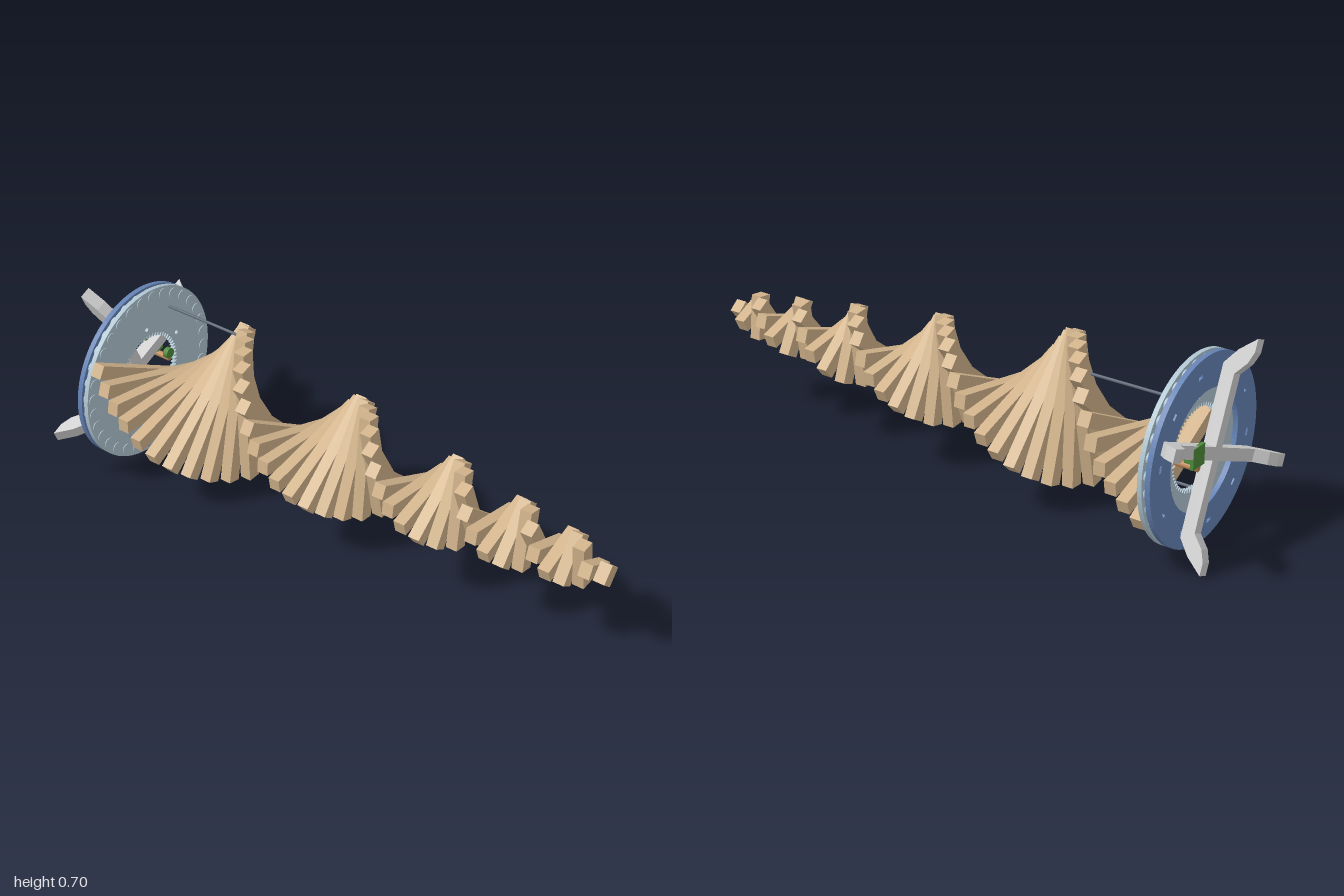
import * as THREE from 'three';

const material = (name, color, flatShading = false) => {
  const m = new THREE.MeshStandardMaterial({ color, flatShading });
  m.name = name;
  return m;
};

const DEG = Math.PI / 180;
const CENTRE_Y = 0.352;

export function createModel() {
  const wood = material('tan wood', 0xd2b48c);
  const paleBlue = material('pale blue', 0xb0c6d2);
  const blue = material('blue', 0x6482b4);
  const grey = material('light grey', 0xd0d0d0);
  const steel = material('dark steel', 0x5f6878);
  const green = material('green', 0x4e8a3a);
  const copper = material('copper', 0xc08a58);

  const model = new THREE.Group();
  model.name = 'twistedSculpture';
  const body = new THREE.Group();
  body.name = 'body';
  body.position.y = CENTRE_Y;
  model.add(body);

  const add = (name, geometry, mat, x = 0, y = 0, z = 0, parent = body) => {
    const mesh = new THREE.Mesh(geometry, mat);
    mesh.name = name;
    mesh.position.set(x, y, z);
    parent.add(mesh);
    return mesh;
  };
  // cylinder lying along z
  const rod = (r, length, sides = 20) =>
    new THREE.CylinderGeometry(r, r, length, sides).rotateX(Math.PI / 2);
  const polar = (r, deg) => [r * Math.cos(deg * DEG), r * Math.sin(deg * DEG)];

  // Stack of slats: shorter and turning faster toward the front
  const COUNT = 45;
  const BACK = -0.862;
  const THICK = (1 - BACK) / COUNT;
  // [slat index, angle in degrees]
  const twist = [[0, -30], [3, 0], [9.9, 90], [16.4, 180], [22.4, 270], [27.4, 360], [31.3, 450],
    [34.4, 540], [37.3, 630], [39.5, 720], [41.9, 810], [43.3, 890], [44, 950]];
  const angleAt = (i) => {
    let k = 1;
    while (k < twist.length - 1 && twist[k][0] < i) k++;
    const [i0, a0] = twist[k - 1], [i1, a1] = twist[k];
    return a0 + (a1 - a0) * (i - i0) / (i1 - i0);
  };
  const slats = new THREE.Group();
  slats.name = 'slats';
  body.add(slats);
  for (let i = 0; i < COUNT; i++) {
    const half = i === COUNT - 1 ? 0.033 : i === COUNT - 2 ? 0.06 : 0.315 - 0.0056 * i;
    const slat = add('slat', new THREE.BoxGeometry(2 * half, 0.048, THICK), wood,
      0, 0, BACK + THICK * (i + 0.5), slats);
    slat.rotation.z = angleAt(i) * DEG;
  }

  // Discs
  const circle = (r) => new THREE.Shape().absarc(0, 0, r, 0, Math.PI * 2, false);
  const holeAt = (x, y, r) => new THREE.Path().absarc(x, y, r, 0, Math.PI * 2, true);
  const plate = (shape, depth) =>
    new THREE.ExtrudeGeometry(shape, { depth, bevelEnabled: false, curveSegments: 48 });

  // Front disc with an internal gear and bolt holes
  const gearDisc = circle(0.315);
  const teeth = [];
  const TEETH = 60;
  for (let i = 0; i < TEETH; i++) {
    [[0, 0.145], [0.35, 0.145], [0.5, 0.133], [0.85, 0.133]].forEach(([t, r]) =>
      teeth.push(new THREE.Vector2(...polar(r, (i + t) * 360 / TEETH))));
  }
  gearDisc.holes.push(new THREE.Path(teeth.reverse()));
  for (let i = 0; i < 6; i++) gearDisc.holes.push(holeAt(...polar(0.172, 30 + i * 60), 0.008));
  add('gearDisc', plate(gearDisc, 0.016), paleBlue, 0, 0, -0.877);

  // Rollers held in the front disc
  for (let i = 0; i < 32; i++) {
    const [x, y] = polar(0.287, 3.9 + i * 11.25);
    add('roller', rod(0.0205, 0.032), paleBlue, x, y, -0.8745);
  }

  // Back ring with short slots
  const ring = circle(0.315);
  ring.holes.push(holeAt(0, 0, 0.2));
  for (let i = 0; i < 10; i++) {
    const a = i * 36 + 8;
    ring.holes.push(new THREE.Path([
      [0.255, -2.6], [0.255, 2.6], [0.267, 2.6], [0.267, -2.6],
    ].map(([r, d]) => new THREE.Vector2(...polar(r, a + d)))));
  }
  add('backRing', plate(ring, 0.018), blue, 0, 0, -0.906);

  // Crossed support bars, feet bent backward; profile is radius against depth
  const side = [[0.275, 0.906], [0.325, 0.945], [0.37, 1], [0.328, 1], [0.29, 0.985], [0.25, 0.95]];
  const mirrored = side.map(([r, d]) => [-r, d]).reverse();
  const barShape = new THREE.Shape([...side, ...mirrored].map((p) => new THREE.Vector2(...p)));
  const BAR_WIDTH = 0.042;
  const barGeometry = plate(barShape, BAR_WIDTH)
    .translate(0, 0, -BAR_WIDTH / 2).rotateX(-Math.PI / 2);
  for (const a of [22.5, 112.5]) {
    add('supportBar', barGeometry, grey).rotation.z = a * DEG;
  }

  // Thin drive rods from the disc to a slat
  for (const s of [1, -1]) {
    add('driveRod', rod(0.005, 0.31, 10), steel, 0.12 * s, 0.207 * s, -0.71);
  }

  // Motor with its board and pinion at the gear edge
  const motor = new THREE.Group();
  motor.name = 'motor';
  motor.position.set(0.112, 0.015, 0);
  body.add(motor);
  add('motorBoard', new THREE.BoxGeometry(0.065, 0.07, 0.012), green, 0, 0.02, -0.945, motor);
  add('motorBlock', new THREE.BoxGeometry(0.035, 0.04, 0.03), green, 0, 0.015, -0.925, motor);
  add('motorShaft', rod(0.011, 0.085, 16), copper, 0, -0.02, -0.908, motor);
  add('pinion', rod(0.02, 0.018, 12), green, 0, 0, -0.87, motor);

  return model;
}
